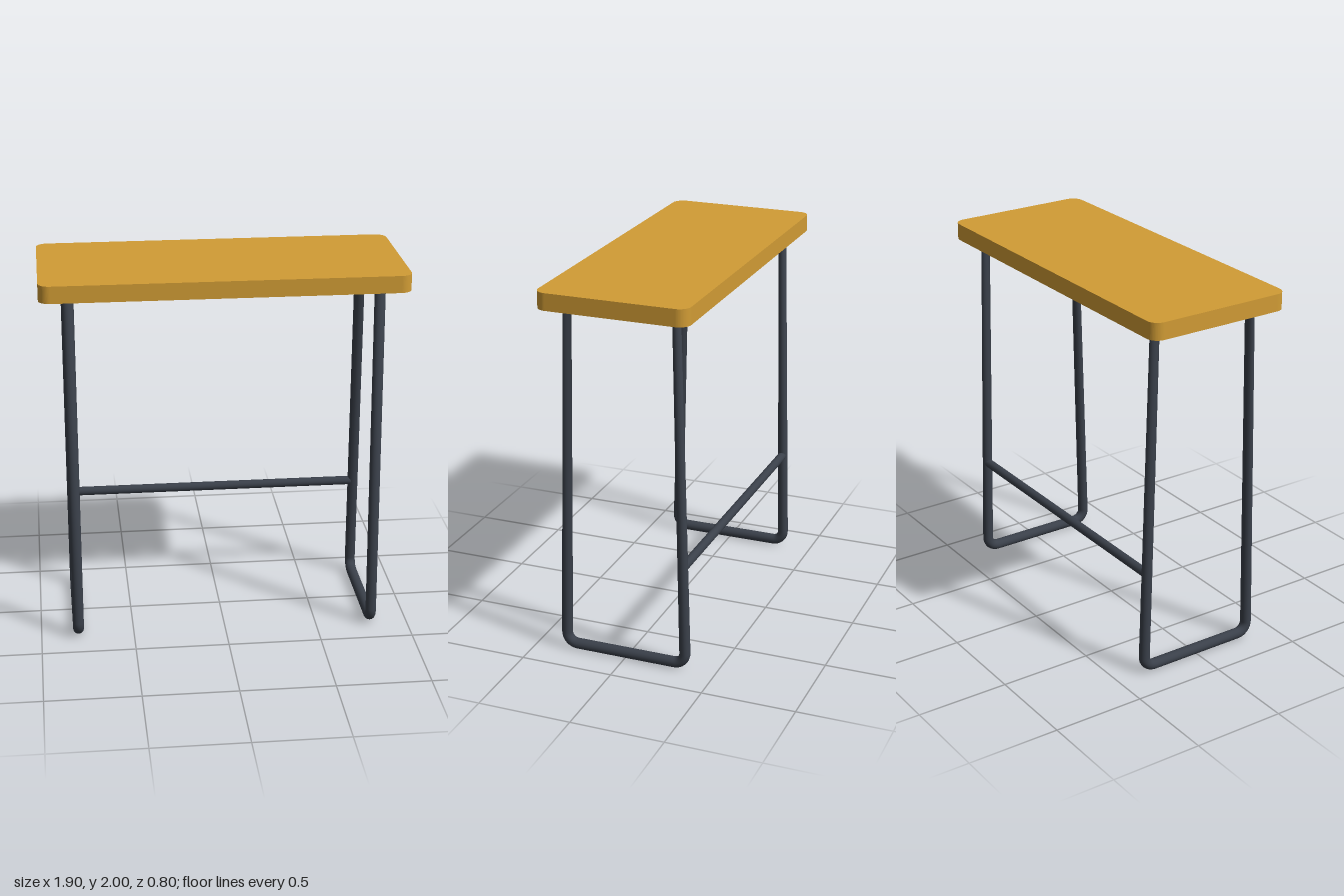
import * as THREE from 'three';

const wood = new THREE.MeshStandardMaterial({ name: 'honeyWood', color: 0xd19c35 });
const steel = new THREE.MeshStandardMaterial({ name: 'darkSteel', color: 0x3a404a });

// Closed tube swept along a loop of (z, y) points; sharp corners pinch the tube
function loopTube(points, radius, sides) {
  const count = points.length;
  const position = [], index = [];
  points.forEach((p, i) => {
    const before = points[(i + count - 1) % count], after = points[(i + 1) % count];
    const t = p.clone().sub(before).normalize().add(after.clone().sub(p).normalize()).normalize();
    for (let j = 0; j < sides; j++) {
      const a = (j / sides) * Math.PI * 2, out = radius * Math.cos(a);
      position.push(radius * Math.sin(a), p.y - t.x * out, p.x + t.y * out);
      const j2 = (j + 1) % sides, i2 = (i + 1) % count;
      const a0 = i * sides + j, b0 = i * sides + j2, c0 = i2 * sides + j, d0 = i2 * sides + j2;
      index.push(a0, b0, c0, b0, d0, c0);
    }
  });
  const geometry = new THREE.BufferGeometry();
  geometry.setAttribute('position', new THREE.Float32BufferAttribute(position, 3));
  geometry.setIndex(index);
  geometry.computeVertexNormals();
  return geometry;
}

// Trapezoid leg outline: rounded at the floor, sharp under the seat
function legOutline() {
  const half = [];
  for (let i = 0; i <= 8; i++) {
    const a = -Math.PI / 2 + (i / 8) * (Math.PI / 2 + 0.024);
    half.push(new THREE.Vector2(0.273 + 0.06 * Math.cos(a), 0.089 + 0.06 * Math.sin(a)));
  }
  half.push(new THREE.Vector2(0.289, 1.915));
  const mirrored = half.map((p) => new THREE.Vector2(-p.x, p.y)).reverse();
  return [...half, ...mirrored];
}

// Slab with rounded corners in plan
function slab(width, depth, height, r) {
  const x = width / 2, y = depth / 2;
  const s = new THREE.Shape();
  s.absarc(x - r, y - r, r, 0, Math.PI / 2);
  s.absarc(-x + r, y - r, r, Math.PI / 2, Math.PI);
  s.absarc(-x + r, -y + r, r, Math.PI, Math.PI * 1.5);
  s.absarc(x - r, -y + r, r, Math.PI * 1.5, Math.PI * 2);
  return new THREE.ExtrudeGeometry(s, { depth: height, bevelEnabled: false, curveSegments: 8 })
    .rotateX(-Math.PI / 2);
}

export function createModel() {
  const group = new THREE.Group();
  group.name = 'barTable';
  const add = (name, geometry, material, x, y, z) => {
    const mesh = new THREE.Mesh(geometry, material);
    mesh.name = name;
    mesh.position.set(x, y, z);
    group.add(mesh);
    return mesh;
  };

  // Wooden top
  add('top', slab(1.9, 0.8, 0.09, 0.06), wood, 0, 1.91, 0);

  // Two bent-tube leg frames
  const frame = loopTube(legOutline(), 0.029, 16);
  add('leftLegFrame', frame, steel, 0.8, 0, 0);
  add('rightLegFrame', frame, steel, -0.8, 0, 0);

  // Footrest bar joining the rear legs
  const bar = new THREE.CylinderGeometry(0.024, 0.024, 1.6, 16).rotateZ(Math.PI / 2);
  add('footrestBar', bar, steel, 0, 0.577, -0.321);

  return group;
}
